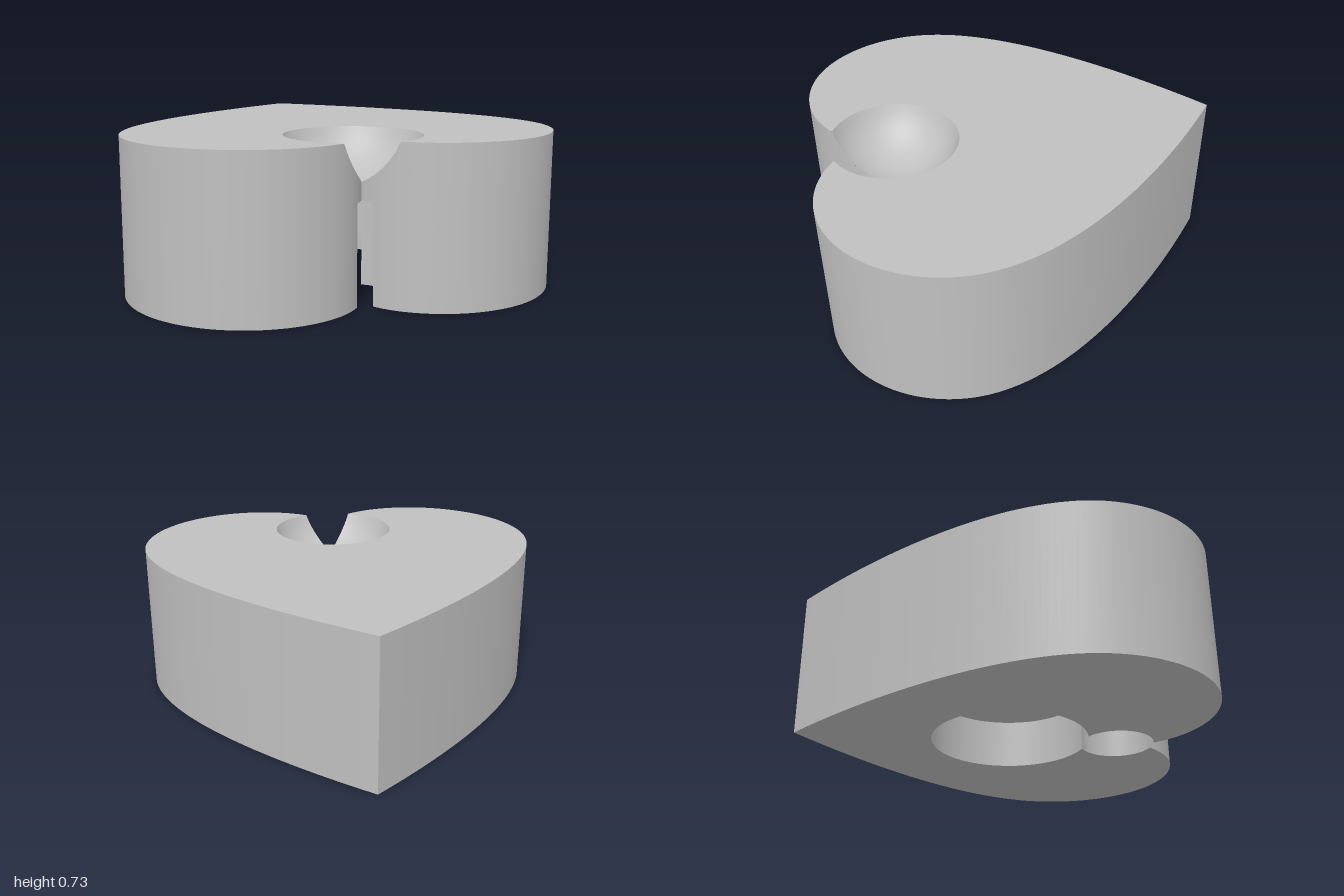
import * as THREE from 'three';
import { mergeGeometries } from 'three/addons/utils/BufferGeometryUtils.js';

// All plan points are Vector2(x, z); only the +x half is described, then mirrored.
const V = (x, z) => new THREE.Vector2(x, z);
const TOP = 0.73;
const pocket = { z: 0.07, r: 0.385, y: 0.245 };
const hole = { z: 0.605, r: 0.18, y: 0.46 };
const bowl = { z: 0.585, r: 0.31, lift: 0.113 };

// Half of the heart outline, from the rear tip round to the front cleft
function heartHalf() {
  const path = new THREE.CurvePath();
  const add = (...p) => path.add(new THREE.CubicBezierCurve(...p));
  add(V(0, -0.975), V(0.4, -0.66), V(1, -0.1), V(1, 0.37));
  add(V(1, 0.37), V(1, 0.7), V(0.743, 0.972), V(0.425, 0.972));
  add(V(0.425, 0.972), V(0.25, 0.972), V(0.07, 0.88), V(0, 0.715));
  return path.getPoints(48);
}

// Split a path where it enters a circle; both pieces share the crossing point
function split(pts, c) {
  const d = (p) => Math.hypot(p.x, p.y - c.z) - c.r;
  const i = pts.findIndex((p) => d(p) < 0);
  const a = pts[i - 1], b = pts[i];
  const cross = a.clone().lerp(b, d(a) / (d(a) - d(b)));
  return [[...pts.slice(0, i), cross], [cross, ...pts.slice(i)]];
}

// Arc on a centred circle; angle 0 is the front, PI the back
function arc(c, a0, a1, n = 40) {
  return Array.from({ length: n + 1 }, (_, i) => {
    const a = a0 + ((a1 - a0) * i) / n;
    return V(c.r * Math.sin(a), c.z + c.r * Math.cos(a));
  });
}
const angleOf = (p, c) => Math.atan2(p.x, p.y - c.z);
const flip = (pts) => pts.map((p) => V(-p.x, p.y));
const rev = (pts) => [...pts].reverse();
const join = (...parts) => parts.reduce((out, p) => [...out, ...(out.length ? p.slice(1) : p)], []);

// Smooth surface through a grid of points
function grid(cols, rows, fn) {
  const pos = [], index = [];
  for (let j = 0; j <= rows; j++) for (let i = 0; i <= cols; i++) pos.push(...fn(i, j));
  for (let j = 0; j < rows; j++) for (let i = 0; i < cols; i++) {
    const a = j * (cols + 1) + i, b = a + cols + 1;
    index.push(a, a + 1, b + 1, a, b + 1, b);
  }
  const g = new THREE.BufferGeometry();
  g.setAttribute('position', new THREE.Float32BufferAttribute(pos, 3));
  g.setIndex(index);
  g.computeVertexNormals();
  return g;
}

// Height of the bowl surface above a plan point (block top outside the rim)
function bowlY(p) {
  const d2 = p.x ** 2 + (p.y - bowl.z) ** 2;
  if (d2 >= bowl.r ** 2) return TOP;
  return TOP + bowl.lift - Math.sqrt(bowl.r ** 2 + bowl.lift ** 2 - d2);
}

// Upright wall along a half path, plus its mirror image
function wall(half, y0, y1) {
  const strip = (pts) => grid(pts.length - 1, 1, (i, j) => {
    const p = pts[i];
    return [p.x, j ? Math.min(y1, bowlY(p)) : y0, p.y];
  });
  return mergeGeometries([strip(rev(half)), strip(flip(half))]);
}

// Flat face bounded by a half path and its mirror image
function face(half, y, up) {
  const s = up ? -1 : 1;
  const pts = join(half, rev(flip(half))).slice(0, -1).map((p) => V(p.x, s * p.y));
  return new THREE.ShapeGeometry(new THREE.Shape(pts)).rotateX((s * Math.PI) / 2).translate(0, y, 0);
}

export function createModel() {
  const group = new THREE.Group();
  const grey = new THREE.MeshStandardMaterial({ color: 0xc0c0c0 });
  grey.name = 'grey';
  const add = (name, geometry) => {
    const mesh = new THREE.Mesh(geometry, grey);
    mesh.name = name;
    group.add(mesh);
  };

  const heart = heartHalf();
  const [outsideBowl, insideBowl] = split(heart, bowl);
  const [outsideHole, insideHole] = split(heart, hole);

  // Where the underside pocket and the small hole meet
  const gap = hole.z - pocket.z;
  const along = (gap ** 2 + pocket.r ** 2 - hole.r ** 2) / (2 * gap);
  const meet = V(Math.sqrt(pocket.r ** 2 - along ** 2), pocket.z + along);

  const holeFront = arc(hole, angleOf(insideHole[0], hole), angleOf(meet, hole));
  const holeBack = arc(hole, angleOf(meet, hole), Math.PI, 12);
  const pocketArc = arc(pocket, angleOf(meet, pocket), Math.PI, 64);
  const bowlArc = arc(bowl, angleOf(insideBowl[0], bowl), Math.PI, 64);

  // Outer block
  add('outerWall', wall(outsideHole, 0, TOP));
  add('cleftWall', wall(insideHole, hole.y, TOP));
  add('topFace', face(join(outsideBowl, bowlArc), TOP, true));
  add('bottomFace', face(join(outsideHole, holeFront, pocketArc), 0, false));

  // Shallow round pocket underneath
  add('pocketWall', wall(pocketArc, 0, pocket.y));
  add('pocketCeiling', face(join(rev(pocketArc), holeBack), pocket.y, false));

  // Deeper small hole breaking out at the cleft
  add('holeFrontWall', wall(holeFront, 0, hole.y));
  add('holeBackWall', wall(holeBack, pocket.y, hole.y));
  add('holeCeiling', face(join(rev(holeBack), rev(holeFront), insideHole), hole.y, false));

  // Spherical bowl in the top, trimmed by the cleft
  const halfRim = join(rev(bowlArc), insideBowl);
  const rim = join(halfRim, rev(flip(halfRim)));
  add('bowl', grid(rim.length - 1, 20, (i, j) => {
    const p = V(0, bowl.z).lerp(rim[i], j / 20);
    return [p.x, bowlY(p), p.y];
  }));

  return group;
}
